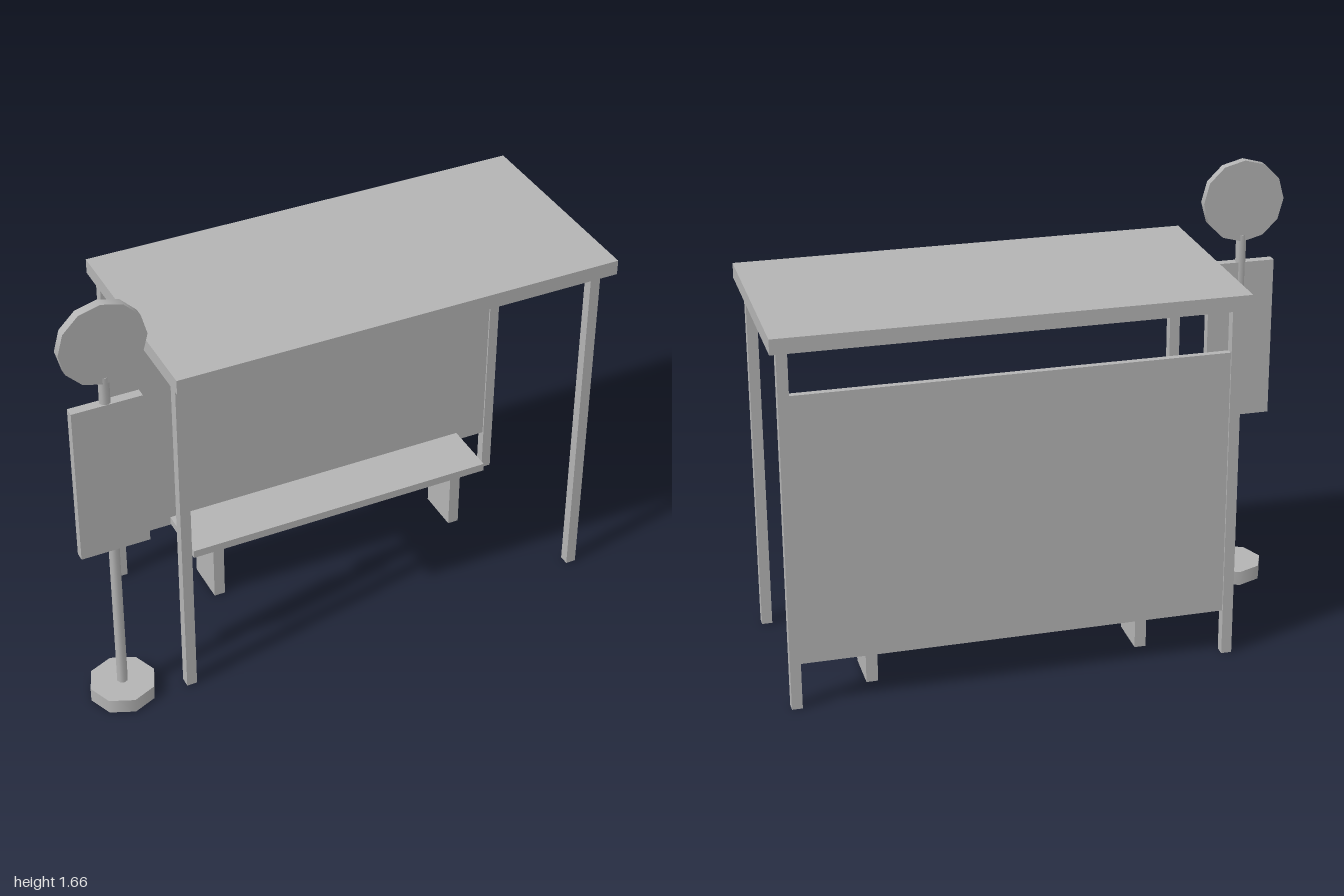
import * as THREE from 'three';

export function createModel() {
  const model = new THREE.Group();
  model.name = 'busStop';
  const grey = new THREE.MeshStandardMaterial({ color: 0xb4b4b4 });
  grey.name = 'plain grey';

  const add = (parent, name, geometry, x, y, z) => {
    const mesh = new THREE.Mesh(geometry, grey);
    mesh.name = name;
    mesh.position.set(x, y, z);
    parent.add(mesh);
    return mesh;
  };

  // Box given by its limits on each axis
  const box = (parent, name, [x0, x1], [y0, y1], [z0, z1]) =>
    add(parent, name, new THREE.BoxGeometry(x1 - x0, y1 - y0, z1 - z0),
      (x0 + x1) / 2, (y0 + y1) / 2, (z0 + z1) / 2);

  const group = (name) => {
    const g = new THREE.Group();
    g.name = name;
    model.add(g);
    return g;
  };

  // Shelter: roof, four corner posts and back panel
  const shelter = group('shelter');
  box(shelter, 'roof', [-0.65, 1], [1.325, 1.38], [-0.4, 0.4]);
  for (const [side, x] of [['right', -0.613], ['left', 0.955]]) {
    for (const [end, z] of [['Front', 0.32], ['Back', -0.342]]) {
      box(shelter, side + end + 'Post', [x - 0.019, x + 0.019], [0, 1.325], [z - 0.019, z + 0.019]);
    }
  }
  box(shelter, 'backPanel', [-0.595, 0.937], [0.17, 1.16], [-0.354, -0.33]);

  // Bench: seat on two slab legs
  const bench = group('bench');
  box(bench, 'seat', [-0.435, 0.775], [0.235, 0.266], [-0.26, -0.04]);
  for (const [side, x] of [['right', -0.326], ['left', 0.666]]) {
    box(bench, side + 'Leg', [x - 0.021, x + 0.021], [0, 0.235], [-0.235, -0.066]);
  }

  // Stop sign post: base, pole, timetable board and round sign
  const sign = group('stopSign');
  const sx = -0.847, sz = 0.262;
  add(sign, 'base', new THREE.CylinderGeometry(0.121, 0.121, 0.055, 8), sx, 0.0275, sz);
  add(sign, 'pole', new THREE.CylinderGeometry(0.02, 0.02, 1.32, 8), sx, 0.715, sz);
  box(sign, 'timetableBoard', [-0.972, -0.722], [0.665, 1.27], [0.247, 0.282]);
  const disc = new THREE.CylinderGeometry(0.153, 0.153, 0.033, 12).rotateX(Math.PI / 2);
  add(sign, 'roundSign', disc, sx, 1.503, sz);

  return model;
}
